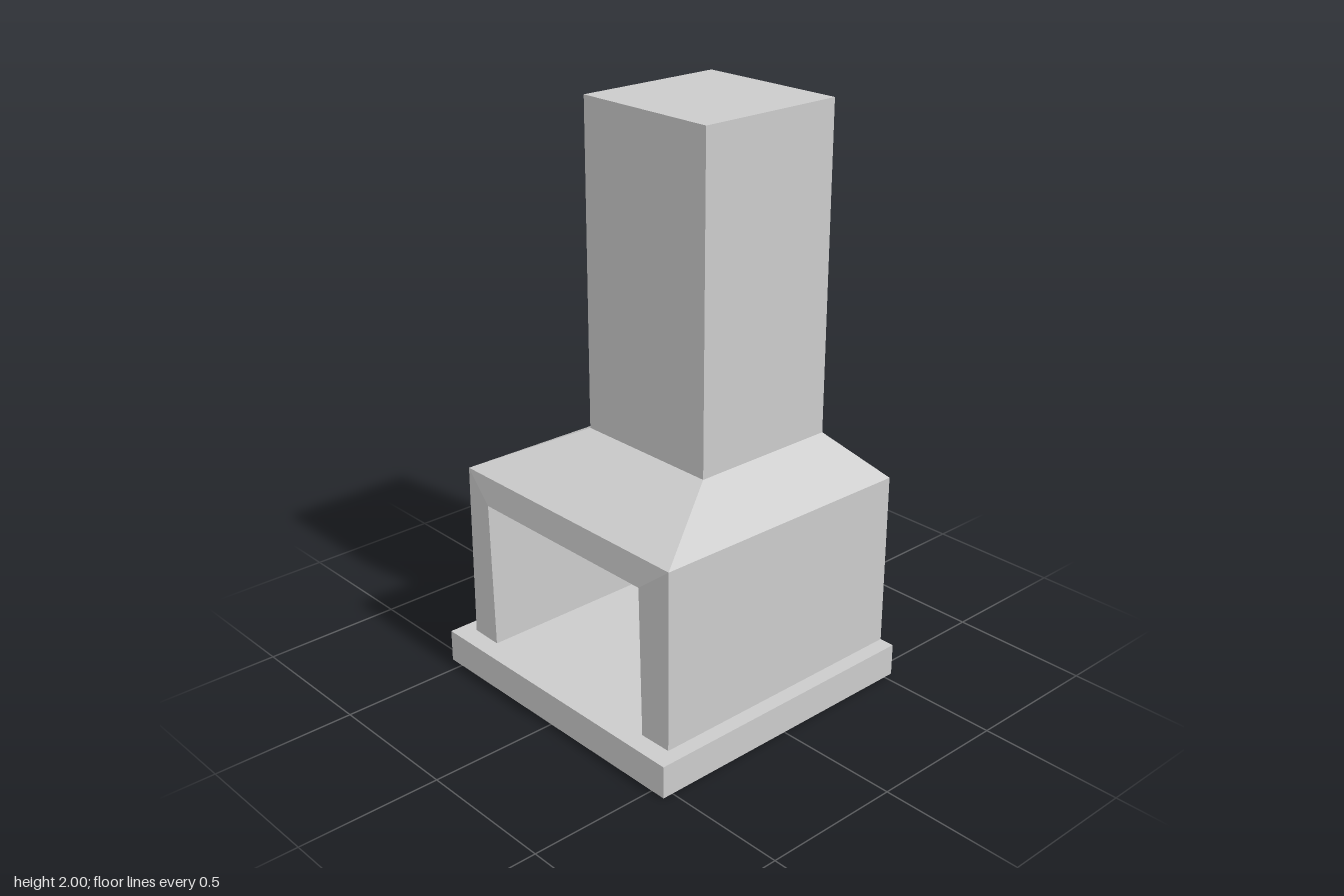
import * as THREE from 'three';

const material = new THREE.MeshStandardMaterial({ color: 0xcccccc, flatShading: true });

// Box given by its limits on each axis
function box(name, [x0, x1], [y0, y1], [z0, z1]) {
  const mesh = new THREE.Mesh(new THREE.BoxGeometry(x1 - x0, y1 - y0, z1 - z0), material);
  mesh.position.set((x0 + x1) / 2, (y0 + y1) / 2, (z0 + z1) / 2);
  mesh.name = name;
  return mesh;
}

// Mesh from four-cornered faces, corners counter-clockwise seen from outside
function panels(name, quads) {
  const positions = quads.flatMap(([a, b, c, d]) => [a, b, c, a, c, d].flat());
  const geometry = new THREE.BufferGeometry();
  geometry.setAttribute('position', new THREE.Float32BufferAttribute(positions, 3));
  geometry.computeVertexNormals();
  const mesh = new THREE.Mesh(geometry, material);
  mesh.name = name;
  return mesh;
}

// Mirrors a face to the other side and restores its corner order
const mirror = (quad) => quad.map(([x, y, z]) => [-x, y, z]).reverse();
const both = (quad) => [quad, mirror(quad)];
// Symmetric face across the middle, from its two corners on the left (+x) side
const span = (low, high) => [[-low[0], low[1], low[2]], low, high, [-high[0], high[1], high[2]]];

export function createModel() {
  const group = new THREE.Group();
  group.name = 'fireplace';

  const floor = 0.115, back = -0.535, fireback = -0.28;

  // Corners on the left side
  const frontFoot = [0.5, floor, 0.468], backFoot = [0.5, floor, back];
  const frontTop = [0.5, 0.745, 0.466], backTop = [0.5, 0.737, back];
  const neckFront = [0.278, 0.86, 0.115], neckBack = [0.278, 0.86, -0.438];
  const jambFoot = [0.38, floor, 0.47], jambTop = [0.38, 0.65, 0.481];
  const innerFoot = [0.38, floor, fireback], innerTop = [0.38, 0.65, fireback];

  group.add(box('hearthBase', [-0.555, 0.555], [0, floor], [back, 0.538]));

  group.add(panels('outerWalls', [
    ...both([frontFoot, backFoot, backTop, frontTop]),
    span(backFoot, backTop).reverse(),
  ]));

  // Jambs and lintel around the opening
  group.add(panels('openingSurround', [
    ...both([jambFoot, frontFoot, frontTop, jambTop]),
    span(jambTop, frontTop),
  ]));

  // Recess: side walls, rear wall and ceiling
  group.add(panels('firebox', [
    ...both([innerFoot, jambFoot, jambTop, innerTop]),
    span(innerFoot, innerTop),
    span(innerTop, jambTop),
  ]));

  // Sloping hood up to the flue
  group.add(panels('hood', [
    span(frontTop, neckFront),
    span(backTop, neckBack).reverse(),
    ...both([frontTop, backTop, neckBack, neckFront]),
  ]));

  group.add(box('chimney', [-0.278, 0.278], [0.86, 2], [-0.438, 0.115]));

  return group;
}
